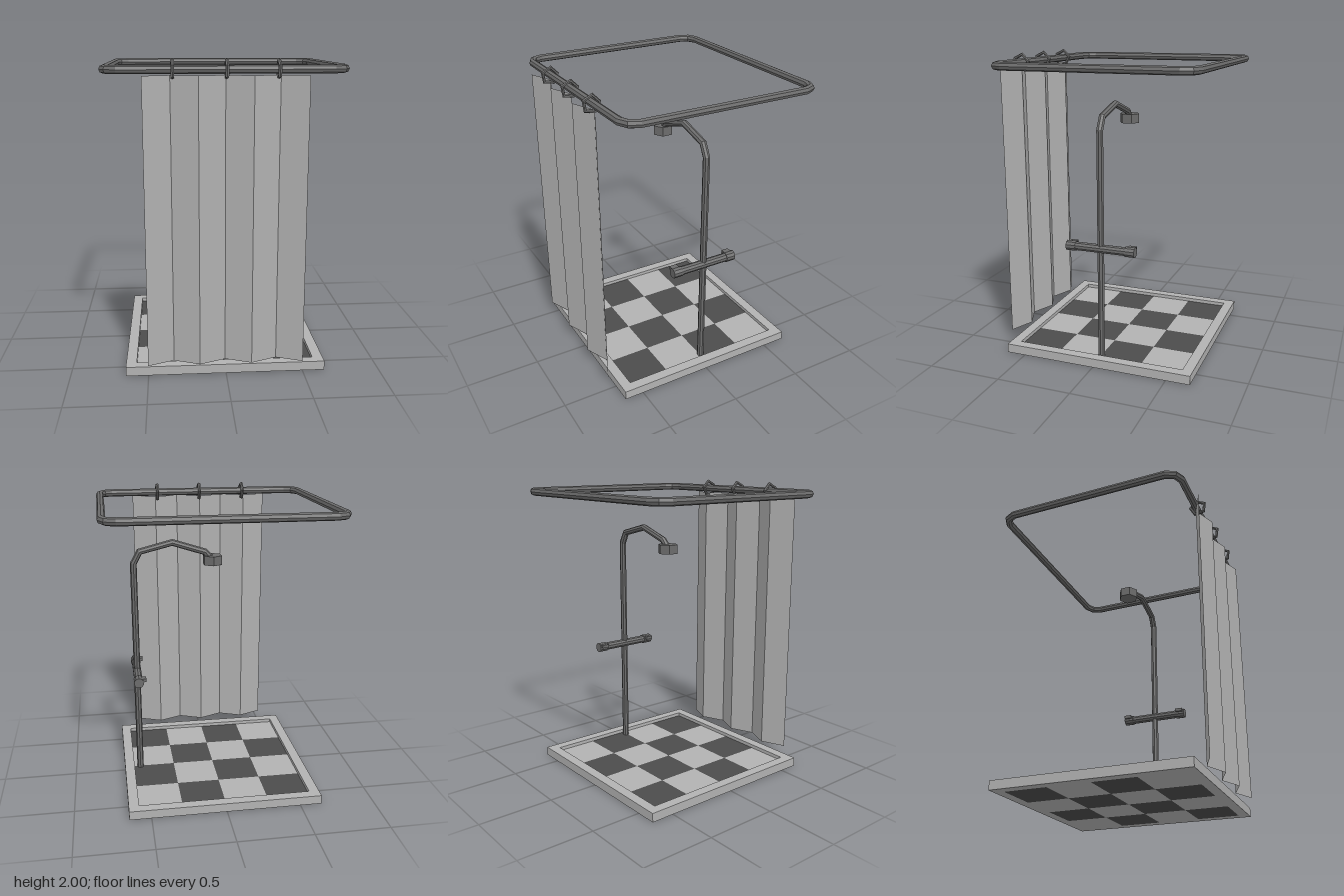
import * as THREE from 'three';

// Curve that visits its points exactly, with averaged tangents for mitred joints
class Polyline extends THREE.Curve {
  constructor(points, closed) {
    super();
    this.points = points;
    this.closed = closed;
    this.segments = closed ? points.length : points.length - 1;
  }
  at(i) {
    const n = this.points.length;
    return this.closed ? this.points[((i % n) + n) % n] : this.points[Math.min(Math.max(i, 0), n - 1)];
  }
  getPoint(t, target = new THREE.Vector3()) {
    const s = t * this.segments, i = Math.floor(s + 1e-6);
    return target.lerpVectors(this.at(i), this.at(i + 1), Math.max(0, s - i));
  }
  getPointAt(t, target) { return this.getPoint(t, target); }
  getTangentAt(t, target = new THREE.Vector3()) {
    const i = Math.round(t * this.segments);
    const before = this.at(i).clone().sub(this.at(i - 1)).normalize();
    const after = this.at(i + 1).clone().sub(this.at(i)).normalize();
    return target.copy(before).add(after).normalize();
  }
}

export function createModel() {
  const model = new THREE.Group();
  model.name = 'shower';
  const mat = (name, color) => Object.assign(new THREE.MeshStandardMaterial({ color }), { name });
  const pale = mat('paleGrey', 0xb2b2b2);
  const dark = mat('darkTile', 0x4c4c4c);
  const metal = mat('metal', 0x6c6c6c);
  const cloth = mat('curtainCloth', 0xb0b0b0);
  cloth.side = THREE.DoubleSide;

  // Adds a faceted mesh
  const add = (name, geometry, material, x = 0, y = 0, z = 0) => {
    const flat = geometry.index ? geometry.toNonIndexed() : geometry;
    flat.computeVertexNormals();
    const mesh = new THREE.Mesh(flat, material);
    mesh.name = name;
    mesh.position.set(x, y, z);
    model.add(mesh);
    return mesh;
  };
  const pipe = (name, points, radius, closed = false) => {
    const curve = new Polyline(points.map(p => new THREE.Vector3(...p)), closed);
    return add(name, new THREE.TubeGeometry(curve, curve.segments, radius, 8, closed), metal);
  };

  // Tray: raised rim around a sunken floor
  const midZ = -0.015, outer = 0.645, inner = 0.577;
  const square = (path, h) => path.moveTo(-h, -h).lineTo(h, -h).lineTo(h, h).lineTo(-h, h).closePath();
  const rim = square(new THREE.Shape(), outer);
  rim.holes.push(square(new THREE.Path(), inner));
  const rimGeometry = new THREE.ExtrudeGeometry(rim, { depth: 0.06, bevelEnabled: false });
  rimGeometry.rotateX(-Math.PI / 2);
  add('trayRim', rimGeometry, pale, 0, 0, midZ);

  // Chequered floor
  const tile = inner / 2;
  for (let row = 0; row < 4; row++) {
    for (let col = 0; col < 4; col++) {
      add('floorTile', new THREE.BoxGeometry(tile, 0.035, tile), (row + col) % 2 ? pale : dark,
        (col - 1.5) * tile, 0.0175, midZ + (row - 1.5) * tile);
    }
  }

  // Overhead curtain rail with chamfered corners
  const railX = 0.73, railZ = 0.645, railY = 1.938;
  const corner = [[0, 0.085], [0.026, 0.026], [0.085, 0]];
  const railPoints = [];
  for (const [sx, sz] of [[-1, -1], [1, -1], [1, 1], [-1, 1]]) {
    const bend = sx * sz > 0 ? corner : [...corner].reverse();
    for (const [dx, dz] of bend) {
      railPoints.push([sx * (railX - dx), railY, -0.025 + sz * (railZ - dz)]);
    }
  }
  pipe('curtainRail', railPoints, 0.026, true);

  // Five-sided curtain rings
  for (const x of [-0.32, 0, 0.31]) {
    const ring = new THREE.TorusGeometry(0.053, 0.012, 6, 5);
    ring.rotateZ(1.4);
    ring.rotateY(Math.PI / 2);
    add('curtainRing', ring, metal, x, 1.937, 0.632);
  }

  // Pleated curtain
  const curtain = new THREE.PlaneGeometry(0.99, 1.815, 6, 1);
  const pos = curtain.attributes.position;
  for (let i = 0; i < pos.count; i++) {
    const top = pos.getY(i) > 0;
    pos.setZ(i, (i % 7 % 2 ? 0.62 : 0.688) - (top ? 0 : 0.008));
  }
  add('curtain', curtain, cloth, -0.005, 0.9975, 0);

  // Riser pipe curving over to the shower head
  const poleX = 0.533, poleZ = -0.02;
  pipe('riserPipe', [
    [poleX, 0.03], [poleX, 1.55], [0.49, 1.63], [0.27, 1.685], [0.05, 1.615], [0, 1.56],
  ].map(([x, y]) => [x, y, poleZ]), 0.023);
  add('showerHead', new THREE.CylinderGeometry(0.068, 0.068, 0.062, 6), metal, 0, 1.56, poleZ);

  // Mixer bar with end caps and small levers
  const bar = (name, radius, length, z) => {
    const geometry = new THREE.CylinderGeometry(radius, radius, length, 10);
    geometry.rotateX(Math.PI / 2);
    add(name, geometry, metal, poleX, 0.785, z);
  };
  bar('mixerBar', 0.029, 0.4, poleZ);
  for (const side of [-1, 1]) {
    const z = poleZ + side * 0.203;
    bar('mixerCap', 0.034, 0.064, z);
    add('mixerLever', new THREE.BoxGeometry(0.04, 0.022, 0.05), metal, 0.503, 0.8, z);
  }
  return model;
}
